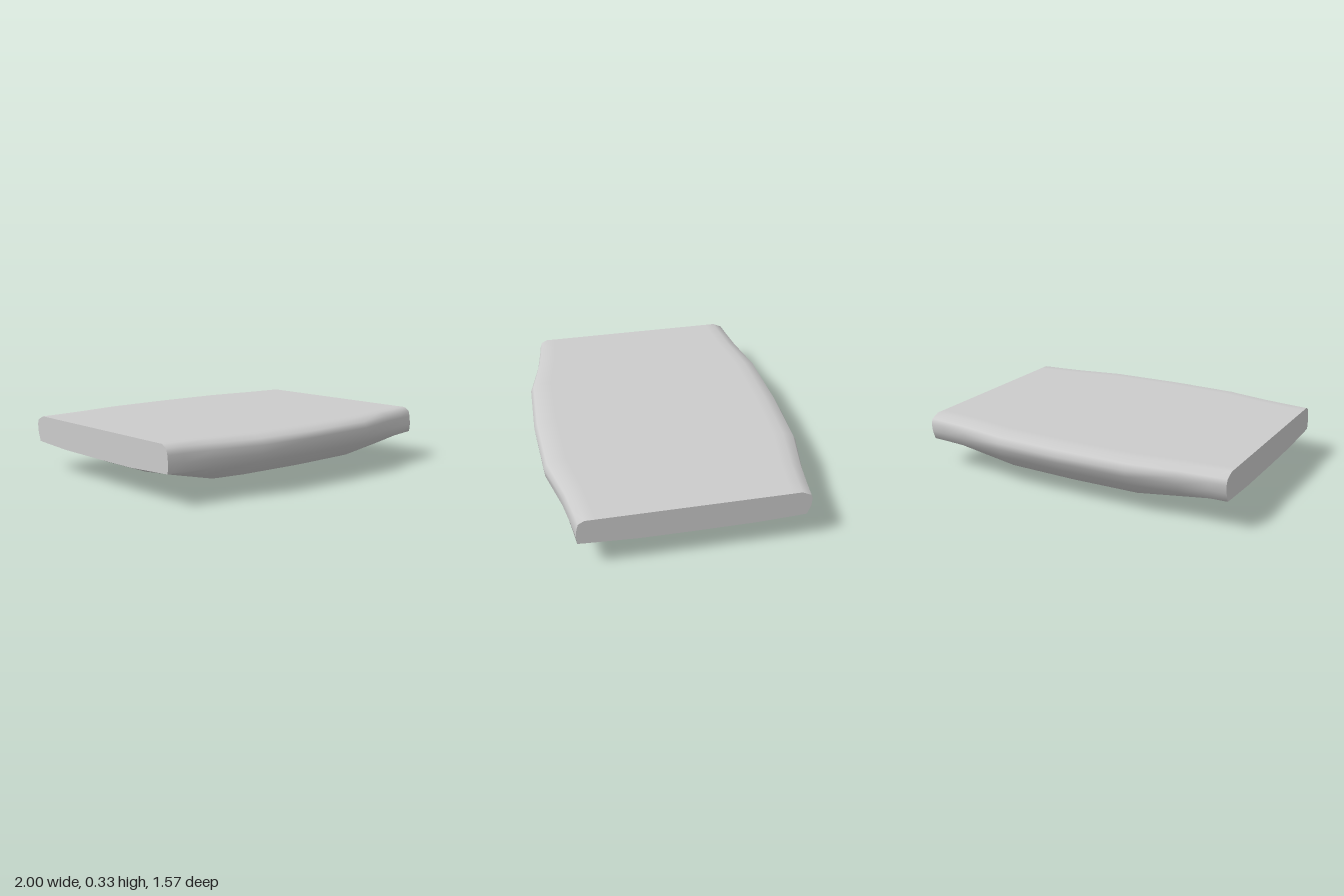
import * as THREE from 'three';

// Cross-section rings as [z, y]: top front, down the front, under, up the back, top
const MIDDLE = [
  [0.64, 0.335], [0.70, 0.335], [0.76, 0.315], [0.78, 0.28], [0.775, 0.23], [0.735, 0.18],
  [0.60, 0.085], [0.33, 0.01], [0, 0.002], [-0.34, 0.025], [-0.62, 0.085],
  [-0.735, 0.18], [-0.775, 0.24], [-0.785, 0.28], [-0.765, 0.315], [-0.70, 0.335], [-0.64, 0.335],
];
const END = [
  [0.54, 0.335], [0.60, 0.335], [0.635, 0.315], [0.645, 0.28], [0.65, 0.23], [0.645, 0.18],
  [0.60, 0.177], [0.31, 0.162], [0, 0.16], [-0.37, 0.162], [-0.60, 0.172],
  [-0.66, 0.176], [-0.68, 0.23], [-0.685, 0.28], [-0.675, 0.31], [-0.62, 0.335], [-0.56, 0.335],
];
// Stations along x: [distance from middle, taper of width, rise of underside]
const HALF = [[0, 0, 0], [0.43, 0.13, 0.05], [0.72, 0.68, 0.47], [0.9, 0.9, 0.76], [1, 1, 1]];
const STATIONS = [
  ...HALF.slice(1).reverse().map(([x, w, h]) => [-x, w, h]),
  ...HALF,
];

function ringAt([x, w, h]) {
  return MIDDLE.map(([z, y], j) => [
    x,
    THREE.MathUtils.lerp(y, END[j][1], h),
    THREE.MathUtils.lerp(z, END[j][0], w),
  ]);
}

function buildGeometry(points, index) {
  const geometry = new THREE.BufferGeometry();
  geometry.setAttribute('position', new THREE.Float32BufferAttribute(points.flat(), 3));
  geometry.setIndex(index);
  geometry.computeVertexNormals();
  return geometry;
}

export function createModel() {
  const group = new THREE.Group();
  group.name = 'cushionSlab';
  const material = new THREE.MeshStandardMaterial({ color: 0xcccccc });
  const add = (name, geometry) => {
    const mesh = new THREE.Mesh(geometry, material);
    mesh.name = name;
    group.add(mesh);
  };

  // Smooth skin lofted through the rings
  const rings = STATIONS.map(ringAt);
  const n = MIDDLE.length;
  const index = [];
  for (let i = 0; i < rings.length - 1; i++) {
    for (let j = 0; j < n; j++) {
      const a = i * n + j, b = i * n + (j + 1) % n;
      index.push(a, b, a + n, b, b + n, a + n);
    }
  }
  add('slabBody', buildGeometry(rings.flat(), index));

  // Flat cut ends
  for (const side of [-1, 1]) {
    const ring = side > 0 ? rings[rings.length - 1] : rings[0];
    const fan = [];
    for (let j = 0; j < n; j++) {
      const k = (j + 1) % n;
      fan.push(n, side > 0 ? j : k, side > 0 ? k : j);
    }
    add(side > 0 ? 'leftEnd' : 'rightEnd', buildGeometry([...ring, [side, 0.25, 0]], fan));
  }
  return group;
}
